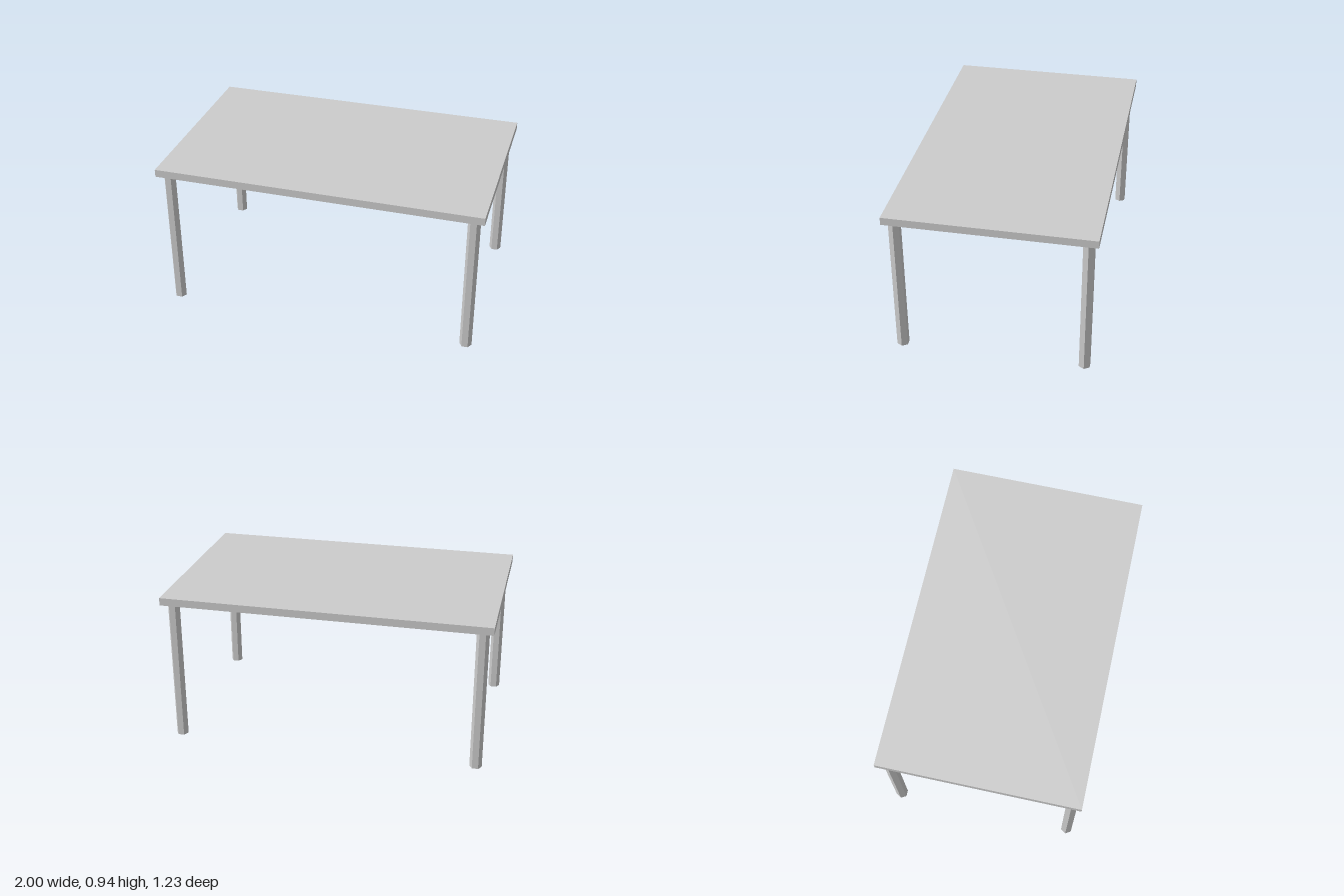
import * as THREE from 'three';

const TOP_Y = 0.94, TOP_THICKNESS = 0.047;
const LEG_RADIUS = 0.0375, LEG_X = 0.933, LEG_Z = 0.555;

export function createModel() {
  const table = new THREE.Group();
  table.name = 'table';
  const material = new THREE.MeshStandardMaterial({ color: 0xcccccc, flatShading: true });

  // Flat rectangular slab
  const top = new THREE.Mesh(new THREE.BoxGeometry(2, TOP_THICKNESS, 1.23), material);
  top.name = 'tableTop';
  top.position.y = TOP_Y - TOP_THICKNESS / 2;
  table.add(top);

  // Hexagonal legs with corners pointing along x
  const legHeight = TOP_Y - TOP_THICKNESS;
  const legGeometry = new THREE.CylinderGeometry(LEG_RADIUS, LEG_RADIUS, legHeight, 6);
  legGeometry.rotateY(Math.PI / 6);
  for (const [side, sx] of [['Left', 1], ['Right', -1]]) {
    for (const [end, sz] of [['front', 1], ['back', -1]]) {
      const leg = new THREE.Mesh(legGeometry, material);
      leg.name = `${end}${side}Leg`;
      leg.position.set(sx * LEG_X, legHeight / 2, sz * LEG_Z);
      table.add(leg);
    }
  }

  return table;
}
